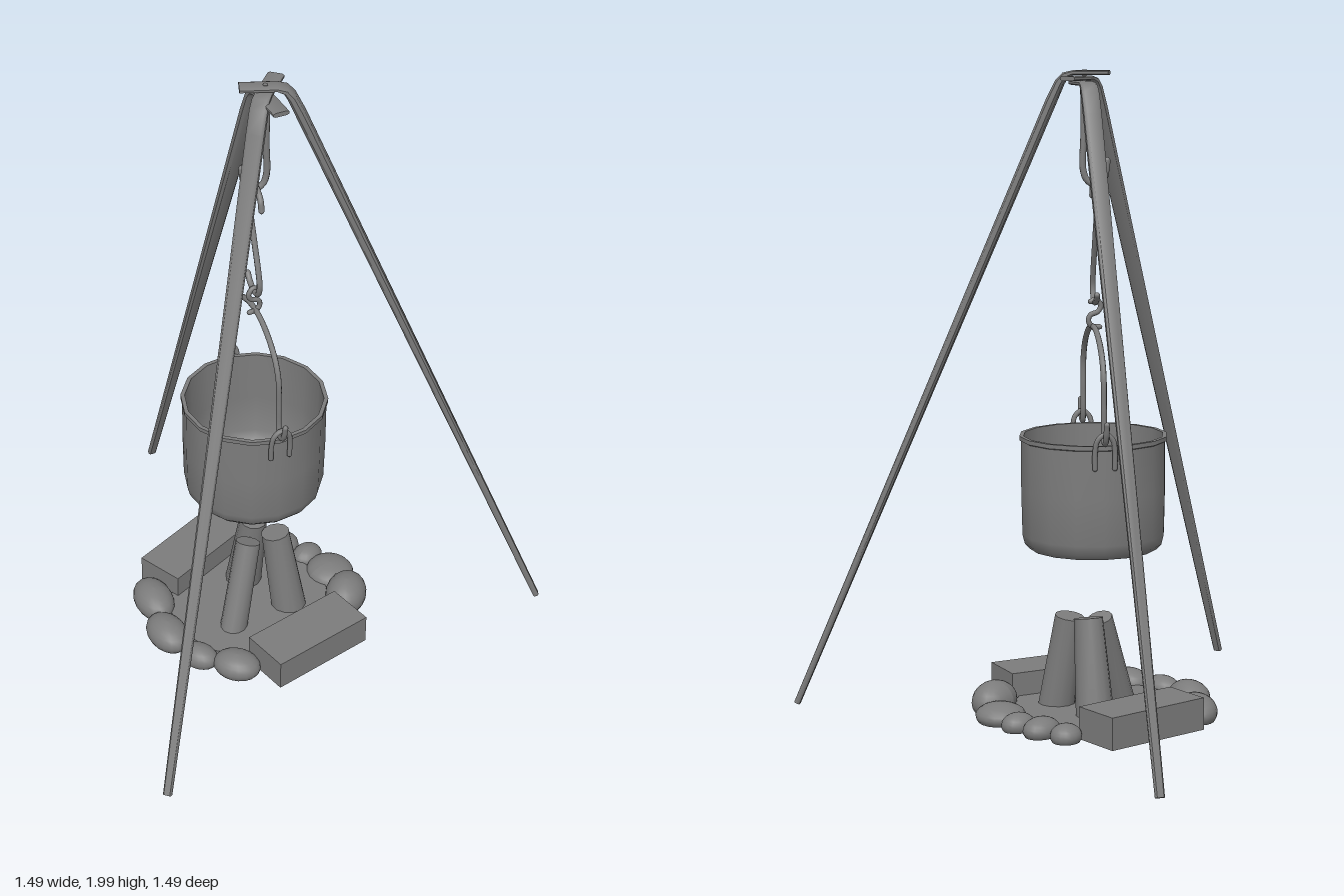
import * as THREE from 'three';
import { toCreasedNormals } from 'three/addons/utils/BufferGeometryUtils.js';

const V = (x, y, z) => new THREE.Vector3(x, y, z);
const COLOR = 0x7c7c7c;
const material = new THREE.MeshStandardMaterial({ color: COLOR });
const twoSided = new THREE.MeshStandardMaterial({ color: COLOR, side: THREE.DoubleSide });

function add(parent, name, geometry, mat = material) {
  const mesh = new THREE.Mesh(geometry, mat);
  mesh.name = name;
  parent.add(mesh);
  return mesh;
}

// Round bar along a smooth path, with rounded ends
function bar(parent, name, points, radius, steps = 40) {
  const group = new THREE.Group();
  group.name = name;
  const curve = new THREE.CatmullRomCurve3(points, false, 'centripetal');
  add(group, name + 'Bar', new THREE.TubeGeometry(curve, steps, radius, 8));
  for (const p of [points[0], points[points.length - 1]]) {
    add(group, name + 'End', new THREE.SphereGeometry(radius, 8, 6)).position.copy(p);
  }
  parent.add(group);
}

// Tripod leg: chamfered strap lofted along a bent path; local +x points outwards
// Each station is [distance, height, width, thickness]
function legGeometry(stations) {
  const corners = [[1, -0.5], [1, 0.5], [0.7, 1], [-0.7, 1], [-1, 0.5], [-1, -0.5], [-0.7, -1], [0.7, -1]];
  const n = corners.length, positions = [], index = [];
  stations.forEach(([x, y, w, t], i) => {
    const a = stations[Math.max(0, i - 1)], b = stations[Math.min(stations.length - 1, i + 1)];
    const len = Math.hypot(b[0] - a[0], b[1] - a[1]);
    const tx = (b[0] - a[0]) / len, ty = (b[1] - a[1]) / len;
    for (const [cw, ct] of corners) {
      positions.push(x - ty * ct * t / 2, y + tx * ct * t / 2, cw * w / 2);
    }
    if (i) {
      for (let k = 0; k < n; k++) {
        const p = (i - 1) * n + k, q = (i - 1) * n + (k + 1) % n;
        index.push(p, p + n, q, q, p + n, q + n);
      }
    }
  });
  // End caps
  const last = (stations.length - 1) * n;
  for (let k = 1; k < n - 1; k++) {
    index.push(0, k, k + 1, last, last + k + 1, last + k);
  }
  const g = new THREE.BufferGeometry();
  g.setAttribute('position', new THREE.Float32BufferAttribute(positions, 3));
  g.setIndex(index);
  return toCreasedNormals(g, 0.8);
}

function buildTripod(root) {
  const tripod = new THREE.Group();
  tripod.name = 'tripod';
  root.add(tripod);
  const hub = V(0.095, 0, 0.07);
  // [foot x, foot z, strap height, overlap past the hub, extra reach of the bend]
  const legs = [[-0.735, 0.40, 1.966, 0.10, 0], [0.465, -0.735, 1.95, 0.105, 0.016],
    [0.733, 0.73, 1.982, 0.075, 0.018]];
  for (const [fx, fz, y, over, out] of legs) {
    const dx = fx - hub.x, dz = fz - hub.z, reach = Math.hypot(dx, dz);
    const leg = add(tripod, 'tripodLeg', legGeometry([
      [-over, y, 0.05, 0.014], [0.015 + out, y, 0.05, 0.014], [0.04 + out, y - 0.008, 0.052, 0.02],
      [0.057 + out, y - 0.03, 0.054, 0.026], [0.085 + out, y - 0.09, 0.054, 0.03],
      [reach, 0.01, 0.027, 0.018]]));
    leg.position.copy(hub);
    leg.rotation.y = -Math.atan2(dz, dx);
  }
  add(tripod, 'rivet', new THREE.CylinderGeometry(0.008, 0.008, 0.05, 10)).position.set(hub.x, 1.966, hub.z);
}

function buildHooks(root) {
  // Hanging rod ending in an upturned hook
  bar(root, 'hangingRod', [V(0.093, 1.95, 0.077), V(0.093, 1.8, 0.077), V(0.095, 1.69, 0.077),
    V(0.085, 1.66, 0.07), V(0.066, 1.647, 0.055), V(0.048, 1.662, 0.038),
    V(0.043, 1.69, 0.032), V(0.04, 1.72, 0.03)], 0.01);
  // S-hook, lying in a diagonal plane across the rod
  const s = [[-1, 1.61], [-0.85, 1.64], [-0.3, 1.66], [0.5, 1.655], [0.95, 1.625], [0.85, 1.575], [0.1, 1.475],
    [-0.65, 1.38], [-0.85, 1.335], [-0.6, 1.3], [0, 1.29], [0.6, 1.298], [1, 1.318]];
  bar(root, 'sHook', s.map(([k, y]) => V(0.065 + 0.03 * k, y, 0.06 - 0.05 * k)), 0.009, 60);
  // Small link between the S-hook and the bail
  bar(root, 'link', [[0.012, 1.293], [-0.004, 1.3], [-0.018, 1.28], [-0.01, 1.262], [0.012, 1.252], [0.018, 1.235],
    [0.008, 1.218], [-0.015, 1.215]].map(([k, y]) => V(0.066 + k, y, 0.06 + k * 0.4)), 0.008);
}

function buildPot(root) {
  const pot = new THREE.Group();
  pot.name = 'pot';
  pot.position.set(0.073, 0, 0.058);
  pot.rotation.y = -Math.atan2(0.87, -0.49); // local x runs along the bail
  root.add(pot);
  // Outer wall, rolled rim, inner wall and floor
  const profile = [[0, 0.528], [0.165, 0.528], [0.197, 0.535], [0.213, 0.552], [0.22, 0.58], [0.223, 0.72],
    [0.223, 0.87], [0.228, 0.873], [0.228, 0.886], [0.215, 0.886], [0.213, 0.72], [0.208, 0.59],
    [0.19, 0.555], [0.155, 0.542], [0, 0.542]].map(([r, y]) => new THREE.Vector2(r, y));
  add(pot, 'potBody', toCreasedNormals(new THREE.LatheGeometry(profile, 16), 0.8), twoSided);

  // Arched bail with ends curling out through the lugs
  const half = [[0.262, 0.955], [0.253, 0.92], [0.24, 0.9], [0.22, 0.893], [0.208, 0.92], [0.205, 1.0],
    [0.2, 1.09], [0.17, 1.145], [0.11, 1.19], [0.05, 1.212]];
  const points = half.map(([x, y]) => V(x, y, 0));
  const mirrored = half.map(([x, y]) => V(-x, y, 0)).reverse();
  bar(pot, 'bail', [...points, V(0, 1.217, 0), ...mirrored], 0.009, 90);

  // Staple-shaped lugs on both sides
  for (const side of [1, -1]) {
    const lug = [[0.223, 0.818, -0.03], [0.227, 0.87, -0.03], [0.231, 0.905, -0.023], [0.232, 0.923, 0],
      [0.231, 0.905, 0.023], [0.227, 0.87, 0.03], [0.223, 0.818, 0.03]];
    bar(pot, 'lug', lug.map(([x, y, z]) => V(x * side, y, z)), 0.008, 30);
  }
}

function buildFire(root) {
  const fire = new THREE.Group();
  fire.name = 'firePit';
  root.add(fire);
  add(fire, 'ashBed', toCreasedNormals(new THREE.CylinderGeometry(0.265, 0.265, 0.012, 14), 0.6))
    .position.set(0.07, 0.03, 0.05);

  // Leaning logs: foot centre, top centre, top radius, foot radius
  const logs = [[V(0.15, 0.02, 0.15), V(0.134, 0.318, 0.1), 0.046, 0.058],
    [V(0.148, 0.02, -0.045), V(0.132, 0.328, 0.01), 0.045, 0.06],
    [V(-0.056, 0.02, 0.085), V(0.052, 0.308, 0.055), 0.04, 0.044]];
  for (const [foot, top, rTop, rFoot] of logs) {
    const axis = top.clone().sub(foot);
    const log = add(fire, 'log',
      toCreasedNormals(new THREE.CylinderGeometry(rTop, rFoot, axis.length(), 12), 0.7));
    log.position.copy(foot).addScaledVector(axis, 0.5);
    log.quaternion.setFromUnitVectors(V(0, 1, 0), axis.normalize());
  }

  // Two hearth blocks
  for (const [x, z, turn] of [[0.112, -0.225, 0], [0.031, 0.325, -0.2]]) {
    const block = add(fire, 'hearthBlock', new THREE.BoxGeometry(0.355, 0.1, 0.16));
    block.position.set(x, 0.06, z);
    block.rotation.y = turn;
  }

  // Ring of flat-bottomed stones: x, z, half length along the ring, half depth, height, turn
  const stoneShape = new THREE.SphereGeometry(1, 18, 12);
  const p = stoneShape.attributes.position;
  for (let i = 0; i < p.count; i++) p.setY(i, Math.max(p.getY(i), -0.5));
  stoneShape.computeVertexNormals();
  const stones = [[-0.13, -0.195, 0.095, 0.063, 0.078, 0.4], [-0.22, -0.055, 0.09, 0.062, 0.075, 0],
    [-0.23, 0.09, 0.065, 0.047, 0.06, 0], [-0.185, 0.21, 0.078, 0.06, 0.068, -0.25],
    [0.335, -0.14, 0.048, 0.052, 0.055, 0], [0.355, -0.045, 0.052, 0.065, 0.058, 0],
    [0.375, 0.045, 0.046, 0.055, 0.055, 0], [0.36, 0.155, 0.082, 0.078, 0.06, 0],
    [0.3, 0.27, 0.088, 0.067, 0.094, -0.3]];
  for (const [x, z, along, depth, height, turn] of stones) {
    const stone = add(fire, 'stone', stoneShape);
    stone.scale.set(depth, height / 1.5, along);
    stone.position.set(x, 0.01 + height / 3, z);
    stone.rotation.y = turn - Math.atan2(z - 0.04, x - 0.07);
  }
}

export function createModel() {
  const root = new THREE.Group();
  root.name = 'campfireCookingTripod';
  buildTripod(root);
  buildHooks(root);
  buildPot(root);
  buildFire(root);
  return root;
}
